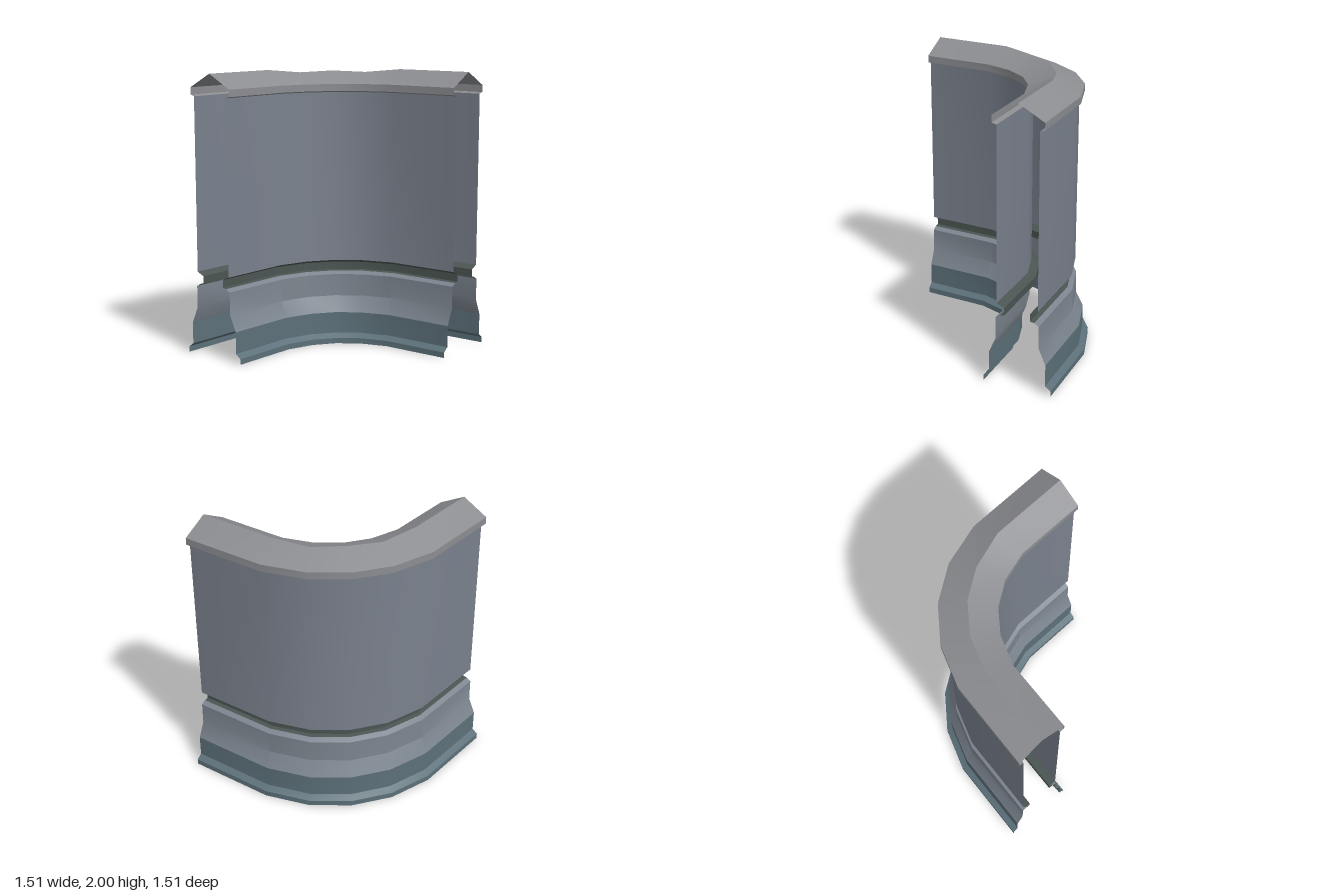
import * as THREE from 'three';
import { toCreasedNormals } from 'three/addons/utils/BufferGeometryUtils.js';

// Plan of the curved wall: [outer x, outer z, inner x, inner z] at each station of the base
const STATIONS = [
  [-0.76, -0.755, -0.76, -0.255],
  [-0.12, -0.725, -0.27, -0.235],
  [0.195, -0.62, -0.08, -0.17],
  [0.44, -0.44, 0.065, -0.065],
  [0.62, -0.195, 0.17, 0.08],
  [0.725, 0.12, 0.235, 0.27],
  [0.755, 0.76, 0.255, 0.76],
];

// Ridge height at each station: worn down a little around the bend
const RIDGE = [2, 2, 1.975, 1.985, 1.975, 2, 2];

// Half profiles: [inset from the outer foot, height], listed upwards
const BANDS = [
  { name: 'footing', color: 0x5c7079, pts: [[0, 0], [0, 0.04], [0.04, 0.07], [0.04, 0.225]] },
  { name: 'plinth', color: 0x7c858f, pts: [[0.04, 0.225], [0.09, 0.34], [0.092, 0.5], [0.125, 0.52]] },
  { name: 'groove', color: 0x4a5552, pts: [[0.125, 0.52], [0.155, 0.525], [0.155, 0.58], [0.1, 0.605]] },
  { name: 'wallPanel', color: 0x7a818d, pts: [[0.1, 0.605], [0.1, 1.84]] },
  { name: 'coping', color: 0x8c8d91, pts: [[0.1, 1.84], [0.066, 1.85], [0.066, 1.9], [0.25, 2]] },
];

// Point across the wall at a station; inset runs 0 (outer foot) to 0.5 (inner foot)
function place(i, inset, y) {
  const [ox, oz, ix, iz] = STATIONS[i];
  const t = inset / 0.5;
  return [ox + (ix - ox) * t, y === 2 ? RIDGE[i] : y, oz + (iz - oz) * t];
}

// Sweep one open profile along the plan; the inner side mirrors the outer
function sweep(pts, inner) {
  const pos = [];
  const at = (i, [inset, y]) => place(i, inner ? 0.5 - inset : inset, y);
  for (let i = 0; i < STATIONS.length - 1; i++) {
    for (let j = 0; j < pts.length - 1; j++) {
      const a = at(i, pts[j]), b = at(i + 1, pts[j]);
      const c = at(i, pts[j + 1]), d = at(i + 1, pts[j + 1]);
      if (inner) pos.push(...a, ...b, ...c, ...b, ...d, ...c);
      else pos.push(...a, ...c, ...b, ...b, ...c, ...d);
    }
  }
  const geo = new THREE.BufferGeometry();
  geo.setAttribute('position', new THREE.Float32BufferAttribute(pos, 3));
  return toCreasedNormals(geo, 0.4);
}

export function createModel() {
  const model = new THREE.Group();
  model.name = 'curvedWall';
  // Hollow shell, open at both ends and underneath
  for (const { name, color, pts } of BANDS) {
    const material = new THREE.MeshStandardMaterial({ color, side: THREE.DoubleSide });
    const band = new THREE.Group();
    band.name = name;
    for (const inner of [false, true]) {
      const mesh = new THREE.Mesh(sweep(pts, inner), material);
      mesh.name = name + (inner ? 'Inner' : 'Outer');
      band.add(mesh);
    }
    model.add(band);
  }
  return model;
}
